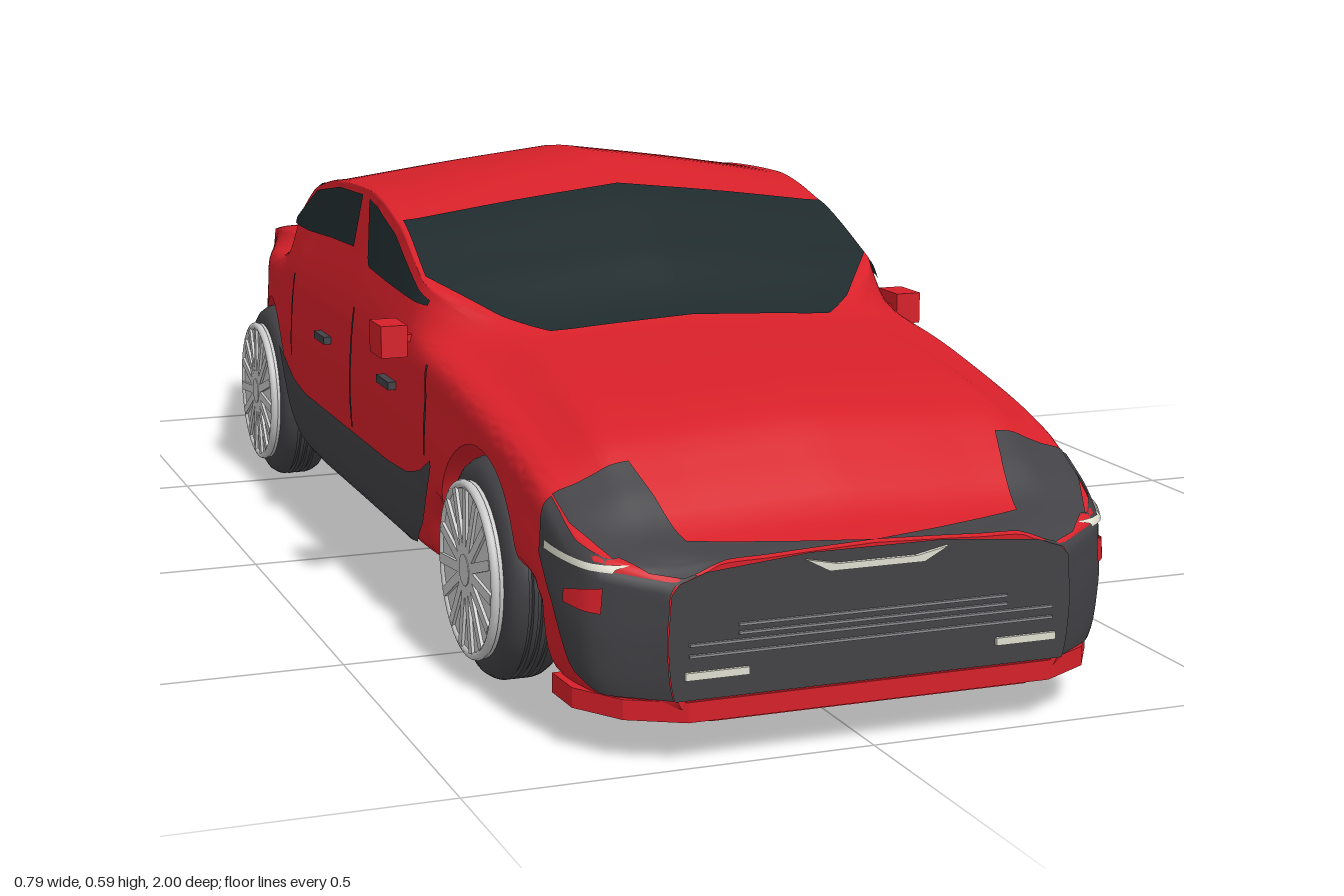
import * as THREE from 'three';
import { toCreasedNormals } from 'three/addons/utils/BufferGeometryUtils.js';

const RED = 0xd62029, GLASS = 0x1f2a2d, DARK = 0x424246, BLACK = 0x303033, LIGHT = 0xdedecf, GREY = 0xcccccc;
const WHEELS = [0.605, -0.55], AXLE_Y = 0.14, ARCH_R = 0.155, WELL_X = 0.21;
const { lerp, clamp, smoothstep } = THREE.MathUtils;

// body stations: z, floor y, half width, shoulder y, roof edge x, roof edge y, centre top y
const ROWS = [
  [-1, .07, .237, .31, .228, .342, .365], [-.8, .065, .287, .335, .26, .372, .392],
  [-.65, .07, .325, .35, .27, .385, .4], [-.52, .075, .345, .365, .25, .395, .407],
  [-.4, .075, .355, .375, .326, .452, .482], [-.3, .07, .36, .38, .322, .507, .54],
  [-.15, .065, .36, .385, .32, .533, .575], [0, .065, .36, .385, .32, .538, .587],
  [.16, .065, .36, .38, .322, .508, .548], [.29, .065, .36, .375, .328, .452, .484],
  [.44, .07, .358, .365, .24, .395, .408], [.6, .07, .355, .34, .25, .375, .388],
  [.78, .06, .35, .3, .26, .34, .356], [.86, .05, .345, .265, .26, .292, .305],
  [.93, .05, .328, .235, .25, .245, .255], [.992, .05, .25, .21, .19, .232, .24],
];

// smooth, non-overshooting interpolation of one station value
function station(z, k) {
  let i = 0;
  while (i < ROWS.length - 2 && z > ROWS[i + 1][0]) i++;
  const d = j => (ROWS[j + 1][k] - ROWS[j][k]) / (ROWS[j + 1][0] - ROWS[j][0]);
  const slope = j => {
    if (j === 0) return d(0);
    if (j === ROWS.length - 1) return d(j - 1);
    const a = d(j - 1), b = d(j);
    return a * b <= 0 ? 0 : 2 * a * b / (a + b);
  };
  const h = ROWS[i + 1][0] - ROWS[i][0], t = clamp((z - ROWS[i][0]) / h, 0, 1);
  const t2 = t * t, t3 = t2 * t;
  return (2 * t3 - 3 * t2 + 1) * ROWS[i][k] + (t3 - 2 * t2 + t) * h * slope(i)
    + (3 * t2 - 2 * t3) * ROWS[i + 1][k] + (t3 - t2) * h * slope(i + 1);
}

// half cross-section from sill to centre line; the edge is crisp at the roof and soft on the bonnet
const SHOULDER = .4, cache = new Map();
function section(z) {
  if (!cache.has(z)) {
    const [yb, w, ys, xr, yr, yt] = [1, 2, 3, 4, 5, 6].map(k => station(z, k));
    const h = ys - yb, sharp = Math.max(smoothstep(yt, .41, .48), smoothstep(-z, .75, .95));
    const wall = f => [lerp(.975 * w, xr, f), lerp(ys, yr, f)];
    const roof = f => [lerp(xr, 0, f), lerp(yr, yt, f)];
    const pts = [[.8 * w, yb], [.95 * w, yb + .12 * h], [w, yb + .5 * h], [.995 * w, yb + .8 * h], wall(0),
      wall(.45), wall(lerp(.7, .95, sharp)), wall(1), roof(lerp(.3, .06, sharp)), [.5 * xr, lerp(yr, yt, .54)], [0, yt]];
    cache.set(z, new THREE.CatmullRomCurve3(pts.map(p => new THREE.Vector3(p[0], p[1], 0))));
  }
  return cache.get(z);
}
function solve(z, lo, test) {
  let hi = 1;
  for (let i = 0; i < 24; i++) {
    const m = (lo + hi) / 2;
    if (test(section(z).getPoint(m))) lo = m; else hi = m;
  }
  return lo;
}
const sideX = (z, y) => section(z).getPoint(solve(z, 0, p => p.y < y)).x;
const topY = (x, z) => section(z).getPoint(solve(z, SHOULDER, p => p.x > Math.abs(x))).y;

function mesh(parent, name, geo, color, x = 0, y = 0, z = 0) {
  const m = new THREE.Mesh(geo, new THREE.MeshStandardMaterial({ color, side: THREE.DoubleSide }));
  m.name = name;
  m.position.set(x, y, z);
  parent.add(m);
  return m;
}
const box = (parent, name, color, w, h, d, x, y, z) =>
  mesh(parent, name, new THREE.BoxGeometry(w, h, d), color, x, y, z);

// lower flanks and floor edge draw in towards the wheel wells
function tuck(x, y, z) {
  const gap = Math.min(...WHEELS.map(q => Math.hypot(z - q, y - AXLE_Y)));
  const f = (1 - smoothstep(gap, ARCH_R, ARCH_R * 1.45)) * (1 - smoothstep(y, .09, .2));
  return [lerp(x, Math.min(x, WELL_X), f), y];
}

// body shell: loft with wheel arches cut into the sides
function bodyGeometry() {
  const zs = [];
  for (let i = 0; i <= 100; i++) {
    const z = -1 + 1.992 * i / 100;
    if (WHEELS.every(c => Math.abs(z - c) > ARCH_R + .004)) zs.push(z);
  }
  for (const c of WHEELS) {
    for (let i = 0; i <= 28; i++) zs.push(c + ARCH_R * .9999 * Math.cos(Math.PI * i / 28));
    zs.push(c - ARCH_R - .0005, c + ARCH_R + .0005);
  }
  zs.sort((a, b) => a - b);
  const rings = zs.map(z => {
    const yb = station(z, 1), w = station(z, 2), c = WHEELS.find(q => Math.abs(z - q) < ARCH_R);
    const ya = c === undefined ? yb : AXLE_Y + Math.sqrt(ARCH_R ** 2 - (z - c) ** 2);
    const [inner] = c === undefined ? tuck(.8 * w, yb, z) : [WELL_X];
    const t0 = c === undefined ? 0 : solve(z, 0, p => p.y < ya);
    const half = [[0, yb], [inner, yb], [inner, ya]];
    for (let j = 0; j <= 60; j++) {
      const p = section(z).getPoint(Math.max(t0, j / 60));
      half.push(tuck(p.x, p.y, z));
    }
    return half.concat(half.slice(1, -1).reverse().map(p => [-p[0], p[1]]));
  });
  const n = rings[0].length, pos = [], idx = [];
  rings.forEach((r, i) => r.forEach(p => pos.push(p[0], p[1], zs[i])));
  for (let i = 0; i < rings.length - 1; i++) for (let j = 0; j < n; j++) {
    const a = i * n + j, b = i * n + (j + 1) % n;
    idx.push(a, b, a + n, b, b + n, a + n);
  }
  // end caps
  const last = rings.length - 1, k = pos.length / 3;
  pos.push(0, .2, zs[0], 0, .14, zs[last]);
  for (let j = 0; j < n; j++) {
    const q = (j + 1) % n;
    idx.push(k, q, j, k + 1, last * n + j, last * n + q);
  }
  const g = new THREE.BufferGeometry();
  g.setAttribute('position', new THREE.Float32BufferAttribute(pos, 3));
  g.setIndex(idx);
  return toCreasedNormals(g, .6);
}

// panel on the body skin: keys are [z, low, high]; place(z, value) gives the point
function band(parent, name, color, keys, place, nz = 30, nv = 14) {
  const pos = [], idx = [], z0 = keys[0][0], z1 = keys[keys.length - 1][0];
  for (let i = 0; i <= nz; i++) {
    const z = z0 + (z1 - z0) * i / nz;
    let s = 0;
    while (s < keys.length - 2 && (z - keys[s + 1][0]) * Math.sign(z1 - z0) > 0) s++;
    const f = (z - keys[s][0]) / (keys[s + 1][0] - keys[s][0]);
    const lo = lerp(keys[s][1], keys[s + 1][1], f), hi = lerp(keys[s][2], keys[s + 1][2], f);
    for (let j = 0; j <= nv; j++) pos.push(...place(z, lo + (hi - lo) * j / nv));
  }
  for (let i = 0; i < nz; i++) for (let j = 0; j < nv; j++) {
    const a = i * (nv + 1) + j, b = a + nv + 1;
    idx.push(a, a + 1, b, a + 1, b + 1, b);
  }
  const g = new THREE.BufferGeometry();
  g.setAttribute('position', new THREE.Float32BufferAttribute(pos, 3));
  g.setIndex(idx);
  g.computeVertexNormals();
  return mesh(parent, name, g, color);
}
const onSide = (s, lift) => (z, y) => [s * (sideX(z, y) + lift), y, z];
const onTop = (s, lift) => (z, x) => [s * x, topY(x, z) + lift, z];
const slab = (points, depth) => new THREE.ExtrudeGeometry(
  new THREE.Shape(points.map(p => new THREE.Vector2(...p))), { depth, bevelEnabled: false });

// wheel with its outer face towards +x: round-shouldered tyre, rim standing proud, hollow behind
function wheel() {
  const g = new THREE.Group();
  const profile = [[.108, -.04], [.122, -.041], [.132, -.035], [.138, -.025]];
  for (const y of [-.012, 0, .012]) profile.push([.14, y - .003], [.135, y - .002], [.135, y + .002], [.14, y + .003]);
  profile.push([.138, .022], [.132, .031], [.122, .037], [.108, .038], [.108, -.04]);
  const tyre = new THREE.LatheGeometry(profile.map(p => new THREE.Vector2(...p)), 48).rotateZ(-Math.PI / 2);
  mesh(g, 'tyre', toCreasedNormals(tyre, .5), DARK);
  mesh(g, 'rimDisc', new THREE.CylinderGeometry(.108, .112, .016, 40).rotateZ(-Math.PI / 2), GREY, .041);
  mesh(g, 'rimRing', new THREE.TorusGeometry(.107, .006, 8, 40).rotateY(Math.PI / 2), GREY, .047);
  mesh(g, 'hub', new THREE.CylinderGeometry(.02, .024, .076, 20).rotateZ(-Math.PI / 2), GREY, .016);
  for (let i = 0; i < 15; i++) {
    const spoke = new THREE.BoxGeometry(.024, .088, .013).translate(.041, .06, 0).rotateX(i * Math.PI * 2 / 15);
    mesh(g, 'spoke', spoke, GREY);
  }
  return g;
}

export function createModel() {
  const car = new THREE.Group();
  car.name = 'car';
  mesh(car, 'body', bodyGeometry(), RED);
  // front and rear glass
  band(car, 'windscreen', GLASS, [[.155, -.316, .316], [.29, -.324, .324], [.39, -.25, .25], [.44, -.2, .2]], onTop(1, .004), 40, 30);
  band(car, 'rearWindow', GLASS, [[-.3, -.314, .314], [-.4, -.322, .322], [-.48, -.25, .25], [-.53, -.2, .2]], onTop(1, .004), 40, 30);
  // nose panel, front lip, grille slats and light bar
  band(car, 'nosePanel', DARK, [[.078, -1, 1], [.237, -1, 1]],
    (y, u) => [u * (sideX(.992, y) + .004), y, .995], 14, 12);
  const half = [[.338, .84], [.335, .9], [.295, .96], [.23, .995]];
  const lip = slab([...half, ...half.map(p => [-p[0], p[1]]).reverse()], .024).rotateX(Math.PI / 2);
  mesh(car, 'frontLip', lip, RED, 0, .076, 0);
  for (const y of [.13, .143, .152, .162]) box(car, 'grilleSlat', 0x8c8c90, y > .15 ? .34 : .46, .003, .006, 0, y, .996);
  mesh(car, 'centreLightBar', slab([[-.09, .23], [-.06, .214], [.06, .214], [.09, .23], [.05, .222], [-.05, .222]], .006),
    LIGHT, 0, 0, .994);
  // dark panel under the tail
  band(car, 'tailUnderPanel', BLACK, [[-1, -.19, .19], [-.82, -.22, .22]], (z, x) => [x, station(z, 1) - .004, z], 6, 4);

  for (const s of [1, -1]) {
    // side glass
    band(car, 'frontSideWindow', GLASS, [[.32, .423, .43], [.16, .432, .497], [.08, .438, .517], [.065, .44, .522], [.02, .523, .528]], onSide(s, .004));
    band(car, 'rearSideWindow', GLASS, [[-.018, .455, .53], [-.15, .45, .525], [-.28, .442, .505], [-.34, .44, .475], [-.415, .438, .442]], onSide(s, .004));
    // rocker panel, door seams and handles
    band(car, 'rockerPanel', DARK, [[.45, .235, .245], [.4, .15, .22], [.34, .107, .205], [.25, .09, .2], [-.22, .09, .2],
      [-.29, .11, .21], [-.34, .155, .23], [-.4, .237, .243]], onSide(s, .009), 60);
    for (const [z, lo, hi] of [[.4, .24, .36], [.03, .2, .375], [-.33, .24, .37]])
      band(car, 'doorSeam', BLACK, [[z - .004, lo, hi], [z + .004, lo, hi]], onSide(s, .002), 1);
    for (const z of [.23, -.12]) box(car, 'doorHandle', DARK, .012, .011, .06, s * .364, .305, z);
    // wing mirror
    box(car, 'mirror', RED, .036, .043, .058, s * .378, .378, .295);
    box(car, 'mirrorArm', RED, .03, .01, .02, s * .353, .378, .295);
    // nose trim, headlamps and bumper corners
    band(car, 'noseTrim', DARK, [[.94, .21, .3], [.972, .09, .27], [.992, 0, .235]], onTop(s, .004), 16);
    band(car, 'headlamp', DARK, [[.83, .24, .334], [.88, .225, .33], [.945, .21, .302]], onTop(s, .004), 12);
    band(car, 'bumperCorner', DARK, [[.83, .22, .285], [.87, .17, .265], [.9, .1, .25], [.94, .078, .235], [.992, .078, .222]], onSide(s, .004), 24);
    band(car, 'headlampStrip', LIGHT, [[.85, .23, .24], [.955, .222, .23]], onSide(s, .008), 12, 2);
    band(car, 'bumperInsert', RED, [[.9, .18, .195], [.95, .175, .205]], onSide(s, .008), 8, 3);
    box(car, 'fogLamp', LIGHT, .078, .009, .008, s * .196, .107, .995);
    // wheels
    WHEELS.forEach((z, i) => {
      const w = wheel();
      w.name = i ? 'rearWheel' : 'frontWheel';
      w.position.set(s * .318, AXLE_Y, z);
      if (s < 0) w.rotation.y = Math.PI;
      car.add(w);
    });
  }
  return car;
}
